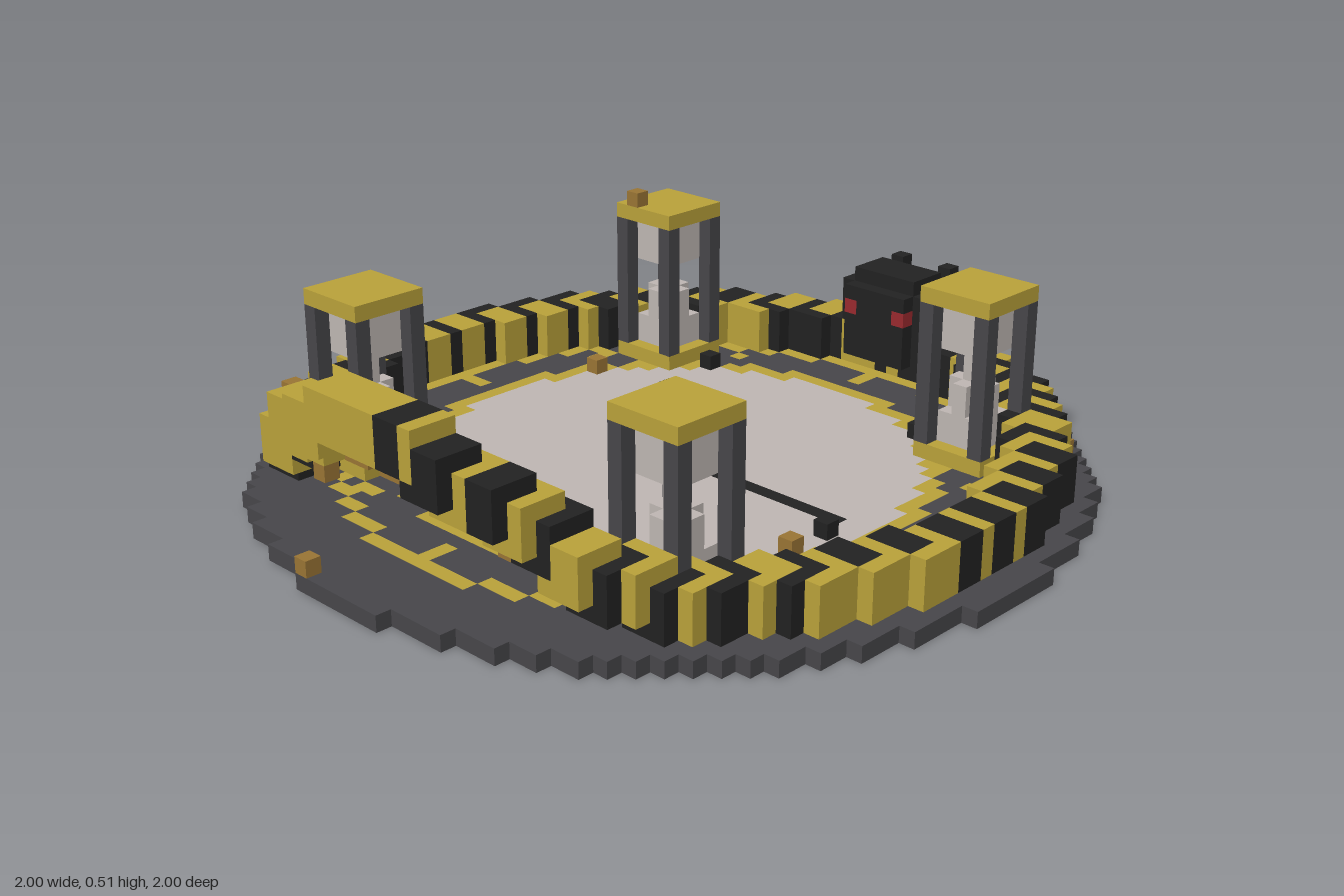
import * as THREE from 'three';

const U = 2 / 51; // edge of one block; block (0, 0, 0) sits on the floor in the middle

const mat = (name, color) => {
  const m = new THREE.MeshStandardMaterial({ color });
  m.name = name;
  return m;
};

export function createModel() {
  const M = {
    gold: mat('gold', 0xbaa23a), black: mat('black', 0x222222), slate: mat('slate', 0x47464a),
    pale: mat('pale stone', 0xbfb7b3), red: mat('red', 0x9a2a2e), sand: mat('sand', 0x9a7535),
  };
  const model = new THREE.Group();
  model.name = 'serpentClock';

  // Collects coloured blocks; later blocks replace earlier ones
  const blocks = () => {
    const map = new Map();
    return {
      map,
      fill(x0, x1, y0, y1, z0, z1, color) {
        for (let x = x0; x <= x1; x++)
          for (let y = y0; y <= y1; y++)
            for (let z = z0; z <= z1; z++) map.set([x, y, z].join(), { p: [x, y, z], color });
      },
    };
  };

  // One mesh per colour, keeping only the outer faces of the blocks
  const build = (name, { map }) => {
    const group = new THREE.Group();
    group.name = name;
    const lists = {};
    for (const { p, color } of map.values()) {
      const out = (lists[color] ??= []);
      for (let a = 0; a < 3; a++) for (const s of [-1, 1]) {
        const next = p.slice();
        next[a] += s;
        if (map.has(next.join())) continue;
        const quad = [[-1, -1], [1, -1], [1, 1], [-1, 1]].map(([b, c]) => {
          const v = [p[0], p[1] + 0.5, p[2]];
          v[a] += s / 2;
          v[(a + 1) % 3] += b / 2;
          v[(a + 2) % 3] += c / 2;
          return v.map((n) => n * U);
        });
        if (s < 0) quad.reverse();
        for (const k of [0, 1, 2, 0, 2, 3]) out.push(...quad[k]);
      }
    }
    for (const color in lists) {
      const geo = new THREE.BufferGeometry();
      geo.setAttribute('position', new THREE.Float32BufferAttribute(lists[color], 3));
      geo.computeVertexNormals();
      const mesh = new THREE.Mesh(geo, M[color]);
      mesh.name = `${name} ${color}`;
      group.add(mesh);
    }
    model.add(group);
  };

  // Clock face: slate disc, two gold rings, twelve ticks and a pale centre
  const face = blocks();
  for (let x = -25; x <= 25; x++) for (let z = -25; z <= 25; z++) {
    const r = Math.hypot(x, z);
    if (r * r > 640) continue;
    const ring = (r > 15.4 && r < 16.6) || (r > 19.5 && r < 20.45);
    face.fill(x, x, 0, 0, z, z, ring ? 'gold' : r <= 15.4 ? 'pale' : 'slate');
  }
  for (let h = 0; h < 12; h++) for (const r of [18, 19]) {
    const x = Math.round(r * Math.sin(h * Math.PI / 6)), z = Math.round(r * Math.cos(h * Math.PI / 6));
    face.fill(x, x, 0, 0, z, z, 'gold');
  }
  // Clock hands, inlaid in the face
  face.fill(1, 13, 0, 0, 0, 0, 'black');
  for (let i = 1; i <= 9; i++) face.fill(-i, -i, 0, 0, -i, -i, 'black');
  build('clockFace', face);

  // Serpent body: overlapping striped cubes round the rim, arching up at the front
  const body = blocks();
  const N = 90;
  for (let i = 0; i < N; i++) {
    const t = Math.PI - (i / N) * Math.PI * 2;
    const deg = t * 180 / Math.PI;
    const x = Math.round(22 * Math.sin(t)), z = Math.round(22 * Math.cos(t));
    const lift = Math.abs(deg) < 50 ? 0.5 + 0.5 * Math.cos(deg / 50 * Math.PI) : 0;
    const y = 1 + Math.round(7 * lift);
    const plainGold = deg < -2 && deg > -21;
    body.fill(x - 1, x + 1, y, y + 2, z - 1, z + 1, plainGold || i % 2 ? 'gold' : 'black');
  }
  build('serpentBody', body);

  // Serpent head with brow, horns and red eyes
  const head = blocks();
  head.fill(-3, 3, 3, 6, -24, -21, 'black');
  head.fill(-2, 2, 2, 6, -25, -20, 'black');
  head.fill(-2, 2, 7, 7, -23, -21, 'black');
  for (const s of [-1, 1]) {
    head.fill(2 * s, 2 * s, 7, 7, -25, -25, 'black');
    head.fill(2 * s, 2 * s, 5, 5, -20, -20, 'red');
  }
  build('serpentHead', head);

  // Four hourglass towers
  for (const sx of [-1, 1]) for (const sz of [-1, 1]) {
    const tower = blocks();
    const cx = 13 * sx, cz = 13 * sz;
    const slab = (w, y0, y1, color) => tower.fill(cx - w, cx + w, y0, y1, cz - w, cz + w, color);
    slab(2, 1, 1, 'gold');
    slab(2, 11, 11, 'gold');
    slab(1, 2, 3, 'pale');
    slab(0, 4, 7, 'pale');
    slab(1, 8, 10, 'pale');
    for (const y of [4, 5]) {
      tower.fill(cx - 1, cx + 1, y, y, cz, cz, 'pale');
      tower.fill(cx, cx, y, y, cz - 1, cz + 1, 'pale');
    }
    for (const dx of [-2, 2]) for (const dz of [-2, 2])
      tower.fill(cx + dx, cx + dx, 2, 10, cz + dz, cz + dz, 'slate');
    build('hourglassTower', tower);
  }

  // Loose sand grains, dark pebbles and the centre pin
  const grains = blocks();
  const put = (color, list) => list.forEach(([x, y, z]) => grains.fill(x, x, y, y, z, z, color));
  put('sand', [
    [-3, 1, 25], [-3, 1, -2], [0, 1, -2], [14, 1, 5], [-11, 1, 10], [17, 1, -17], [-14, 12, -11],
    [-14, 1, -7], [8, 1, -23], [-8, 1, -23], [-12, 7, 19], [-5, 5, 22], [8, 4, 20],
    [-2, 7, 22], [-1, 7, 22], [1, 7, 22], [2, 7, 22],
  ]);
  put('black', [[14, 1, 2], [-9, 1, -13], [9, 1, -13]]);
  put('pale', [[0, 1, 0]]);
  build('looseGrains', grains);

  return model;
}
